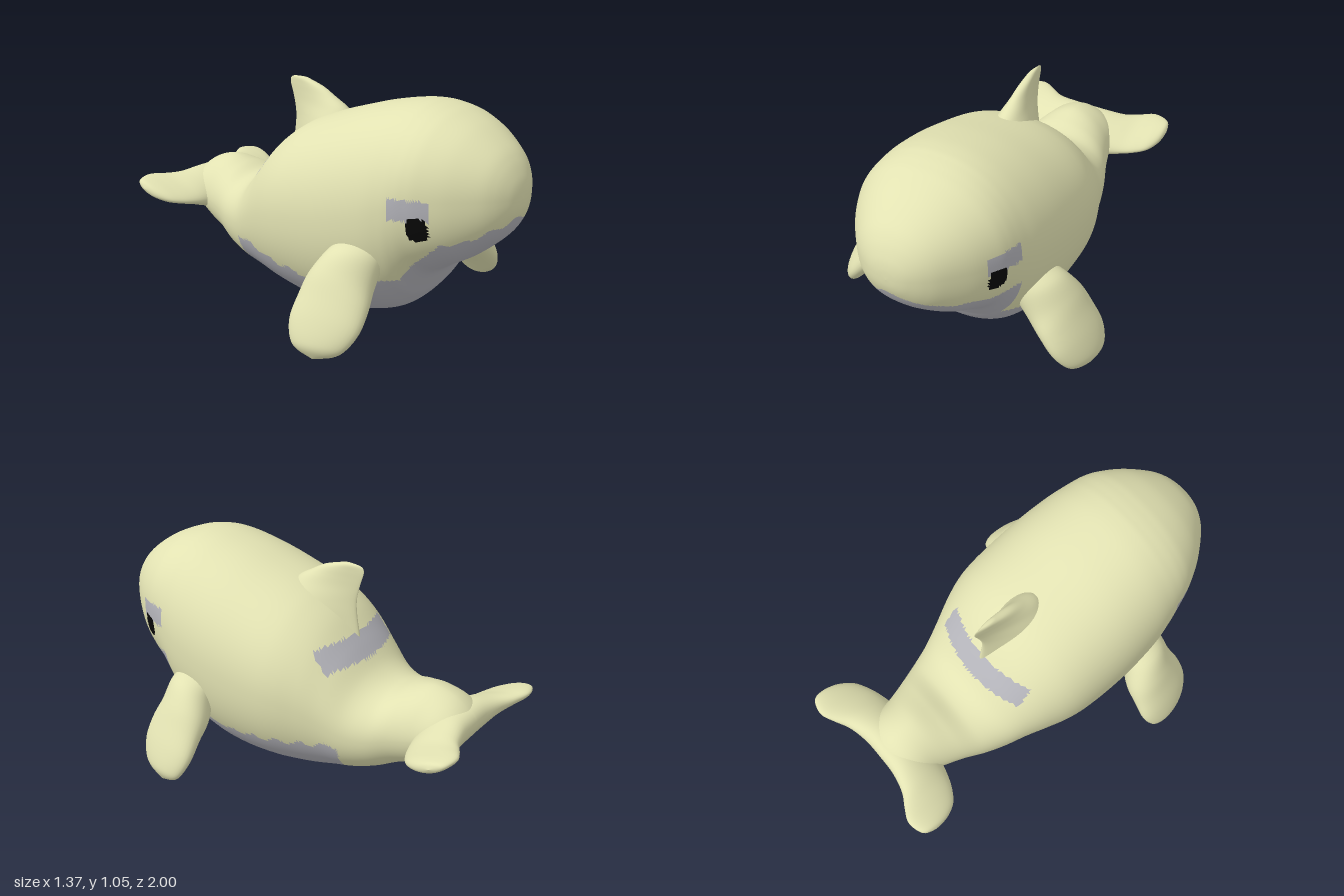
import * as THREE from 'three';

const skin = new THREE.MeshStandardMaterial({ color: 0xe2e2b2 });
const grey = new THREE.MeshStandardMaterial({ color: 0xb4b4ba });
const black = new THREE.MeshStandardMaterial({ color: 0x080808 });

// Catmull-Rom interpolation of whole rows of numbers, t from 0 to 1
function sample(rows, t) {
  const f = t * (rows.length - 1);
  const i = Math.min(Math.floor(f), rows.length - 2);
  const k = f - i;
  const row = (j) => rows[Math.max(0, Math.min(rows.length - 1, j))];
  return rows[i].map((b, c) => {
    const a = row(i - 1)[c], d = row(i + 1)[c], e = row(i + 2)[c];
    return b + 0.5 * k * (d - a + k * (2 * a - 5 * b + 4 * d - e + k * (3 * (b - d) + e - a)));
  });
}

// Smooth closed loft: place(row, cos, sin) gives a point [x, y, z] of each ring
function loft(rows, rings, segs, place) {
  const pos = [], index = [];
  for (let i = 0; i <= rings; i++) {
    const row = sample(rows, i / rings);
    for (let j = 0; j < segs; j++) {
      const a = (j / segs) * Math.PI * 2;
      pos.push(...place(row, Math.cos(a), Math.sin(a)));
    }
  }
  for (let i = 0; i < rings; i++) {
    for (let j = 0; j < segs; j++) {
      const a = i * segs + j, b = i * segs + ((j + 1) % segs);
      index.push(a, b, a + segs, b, b + segs, a + segs);
    }
  }
  // turn the faces outward if the enclosed volume is negative
  const p = (n) => new THREE.Vector3().fromArray(pos, n * 3);
  let volume = 0;
  for (let i = 0; i < index.length; i += 3) {
    volume += p(index[i]).dot(p(index[i + 1]).cross(p(index[i + 2])));
  }
  if (volume < 0) index.reverse();
  const geo = new THREE.BufferGeometry();
  geo.setAttribute('position', new THREE.Float32BufferAttribute(pos, 3));
  geo.setIndex(index);
  geo.computeVertexNormals();
  return geo;
}

// Which marking a point of the body belongs to
function marking(x, y, z) {
  const lift = x < 0 ? -0.045 : 0; // the two eyes sit at slightly different heights
  const inBox = (v, lo, hi) => v > lo && v < hi;
  const wobble = 0.012 * Math.sin(z * 47 + x * 31);
  if (((z - 0.7) / 0.04) ** 4 + ((y - lift - 0.62) / 0.052) ** 4 < 1) return 'eyes';
  if (inBox(z, 0.58, 0.75) && inBox(y - lift, 0.655, 0.75)) return 'eyePatches';
  if (y > 0.5 && Math.abs(x) < 0.27 && inBox(z - 0.9 * x * x, -0.355, -0.275)) return 'saddlePatch';
  if (z > 0.57) {
    const edge = 0.51 + 0.09 * Math.max(0, 1 - (x / 0.22) ** 2);
    return y < edge + wobble && (x > -0.28 || y < 0.25) ? 'belly' : 'body';
  }
  if (z > 0.25) return y < 0.3 && Math.abs(x) < 0.37 ? 'belly' : 'body';
  return z > -0.37 + wobble && y < 0.235 - 0.13 * (z - 0.1) + wobble ? 'belly' : 'body';
}

export function createModel() {
  const model = new THREE.Group();
  const add = (name, geo, material) => {
    const mesh = new THREE.Mesh(geo, material);
    mesh.name = name;
    model.add(mesh);
  };

  // Body rows: z, top, bottom, half width
  const body = loft([
    [1, 0.69, 0.69, 0], [0.996, 0.74, 0.645, 0.05], [0.982, 0.79, 0.6, 0.1], [0.95, 0.85, 0.54, 0.16],
    [0.9, 0.905, 0.48, 0.218], [0.8, 0.975, 0.395, 0.3], [0.7, 1.02, 0.335, 0.358],
    [0.64, 1.037, 0.292, 0.382], [0.59, 1.046, 0.222, 0.398], [0.54, 1.05, 0.148, 0.412],
    [0.45, 1.042, 0.068, 0.432], [0.3, 1.01, 0.018, 0.447], [0.15, 0.965, 0.004, 0.45],
    [0, 0.915, 0.012, 0.443], [-0.1, 0.87, 0.025, 0.425], [-0.2, 0.8, 0.04, 0.39],
    [-0.3, 0.69, 0.065, 0.35], [-0.4, 0.575, 0.092, 0.315], [-0.5, 0.535, 0.13, 0.28],
    [-0.6, 0.563, 0.18, 0.24], [-0.7, 0.583, 0.215, 0.207], [-0.8, 0.56, 0.285, 0.18],
    [-0.87, 0.51, 0.37, 0.125], [-0.905, 0.45, 0.44, 0],
  ], 180, 144, ([z, top, bottom, half], c, s) => {
    // the jaw is squarer and the top of the tail more domed than the rest
    const jaw = s < 0 ? THREE.MathUtils.smoothstep(z, 0.45, 0.72) : 0;
    const tail = 1 - THREE.MathUtils.smoothstep(z, -0.75, -0.45);
    const mid = bottom + (top - bottom) * (0.53 - 0.08 * tail);
    const full = (v, power) => Math.sign(v) * Math.abs(v) ** power;
    const power = 0.93 - 0.1 * jaw + (s > 0 ? 0.2 * tail : 0);
    return [half * full(c, power), mid + (s > 0 ? top - mid : mid - bottom) * full(s, power), z];
  });

  // Split the body faces by marking, sharing the same smooth normals
  const faces = { body: [], belly: [], saddlePatch: [], eyePatches: [], eyes: [] };
  const pos = body.attributes.position, index = body.index.array;
  for (let i = 0; i < index.length; i += 3) {
    const tri = [index[i], index[i + 1], index[i + 2]];
    const mean = (get) => tri.reduce((sum, n) => sum + pos[get](n), 0) / 3;
    faces[marking(mean('getX'), mean('getY'), mean('getZ'))].push(...tri);
  }
  for (const [name, list] of Object.entries(faces)) {
    const part = new THREE.BufferGeometry();
    part.setAttribute('position', pos);
    part.setAttribute('normal', body.attributes.normal);
    part.setIndex(list);
    add(name, part, name === 'body' ? skin : name === 'eyes' ? black : grey);
  }

  // Dorsal fin rows: y, front z, back z, half thickness
  add('dorsalFin', loft([
    [0.7, 0.11, -0.29, 0.2], [0.8, 0.1, -0.272, 0.165], [0.87, 0.085, -0.268, 0.122],
    [0.93, 0.05, -0.278, 0.076], [0.975, -0.02, -0.29, 0.049], [1.015, -0.09, -0.302, 0.033],
    [1.04, -0.165, -0.298, 0.022], [1.05, -0.2, -0.275, 0.012], [1.052, -0.24, -0.24, 0],
  ], 40, 40, ([y, front, back, half], c, s) => [
    half * s * (0.6 + 0.4 * c), y, (front + back) / 2 + ((front - back) / 2) * c,
  ]), skin);

  for (const side of [1, -1]) {
    const label = side > 0 ? 'left' : 'right';

    // Flipper rows: centre x, y, z, half chord, half thickness
    add(label + 'Flipper', loft([
      [0.34, 0.43, 0.41, 0.11, 0.08], [0.4, 0.38, 0.405, 0.125, 0.108], [0.465, 0.3, 0.392, 0.147, 0.108],
      [0.53, 0.225, 0.4, 0.162, 0.085], [0.59, 0.145, 0.402, 0.163, 0.067],
      [0.632, 0.075, 0.4, 0.132, 0.052], [0.65, 0.035, 0.395, 0.085, 0.037], [0.657, 0.008, 0.39, 0, 0],
    ], 40, 40, ([x, y, z, chord, thick], c, s) => [
      side * (x + 0.8 * thick * s - 0.2 * chord * c), y + 0.6 * thick * s, z + chord * c,
    ]), skin);

    // Tail fluke rows: x, centre z, half chord, half thickness; rises toward the back
    add(label + 'Fluke', loft([
      [0, -0.795, 0.117, 0.1], [0.1, -0.8, 0.115, 0.095], [0.2, -0.82, 0.117, 0.068],
      [0.27, -0.848, 0.126, 0.048], [0.33, -0.874, 0.127, 0.04], [0.385, -0.89, 0.105, 0.034],
      [0.422, -0.91, 0.062, 0.024], [0.436, -0.92, 0, 0],
    ], 40, 40, ([x, z, chord, thick], c, s) => [
      side * x, 0.43 + 0.35 * (-0.86 - z - chord * c) + thick * s, z + chord * c,
    ]), skin);
  }
  return model;
}
